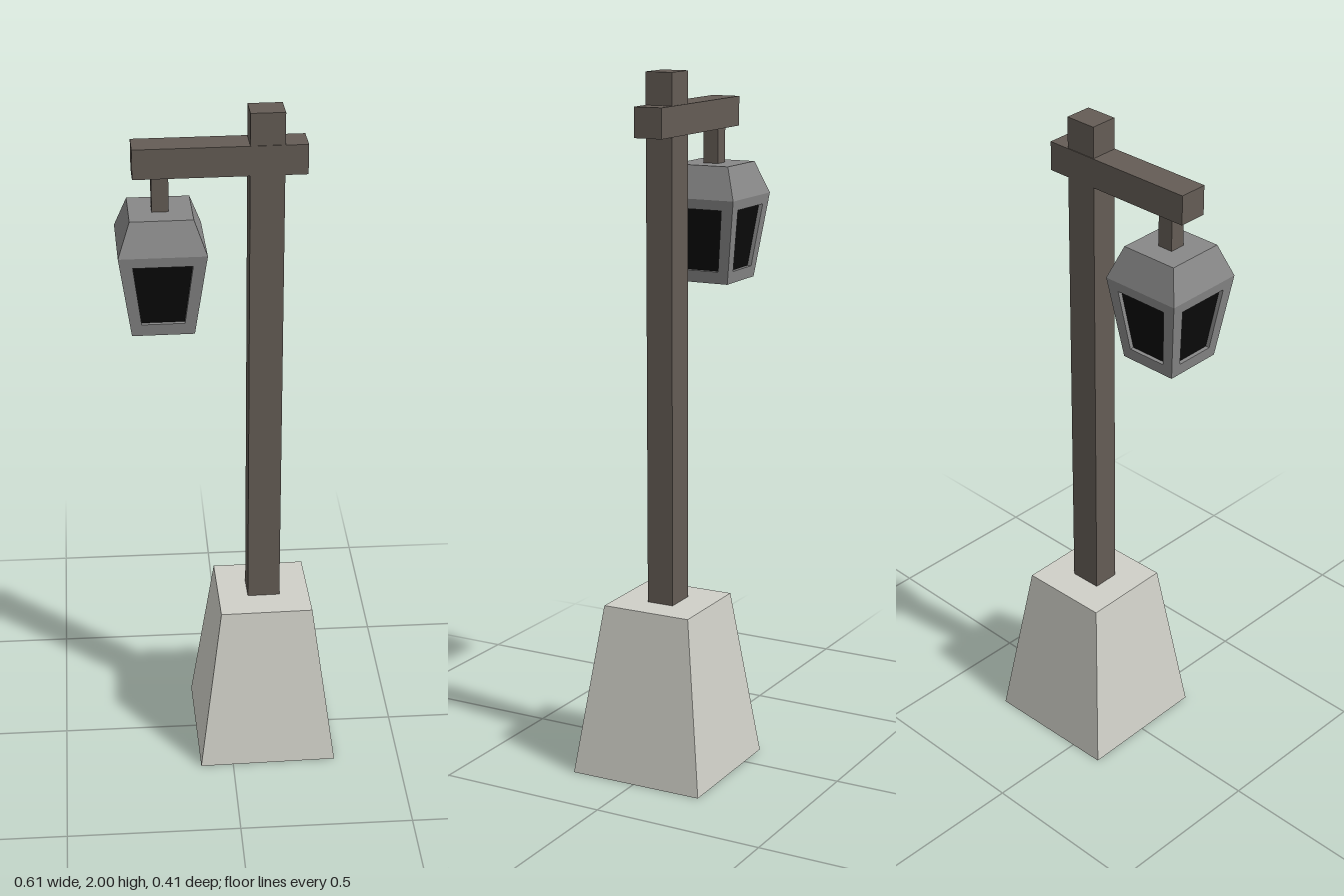
import * as THREE from 'three';

const mat = (color) => new THREE.MeshStandardMaterial({ color, flatShading: true, side: THREE.DoubleSide });
const stone = mat(0xd0d0c8);
const wood = mat(0x645c55);
const metal = mat(0x888888);
const glass = mat(0x0a0a0a);

function add(parent, name, geometry, material, x = 0, y = 0, z = 0) {
  const mesh = new THREE.Mesh(geometry, material);
  mesh.name = name;
  mesh.position.set(x, y, z);
  parent.add(mesh);
  return mesh;
}

// Geometry from a list of quads, each four Vector3 corners, anticlockwise from outside
function quads(list) {
  const pos = [];
  for (const [a, b, c, d] of list) for (const p of [a, b, c, a, c, d]) pos.push(p.x, p.y, p.z);
  const g = new THREE.BufferGeometry();
  g.setAttribute('position', new THREE.Float32BufferAttribute(pos, 3));
  g.computeVertexNormals();
  return g;
}

// Square ring of corners at height y, half width h
const ring = (h, y) => [[-h, h], [h, h], [h, -h], [-h, -h]].map(([x, z]) => new THREE.Vector3(x, y, z));

// Tapered block with a closed top and an open bottom
function taperedShell(h0, y0, h1, y1) {
  const a = ring(h0, y0), b = ring(h1, y1);
  const list = [b];
  for (let i = 0; i < 4; i++) {
    const j = (i + 1) % 4;
    list.push([a[i], a[j], b[j], b[i]]);
  }
  return quads(list);
}

// Frame with a sunken pane: outer corners, opening corners, inward offset
function framedPane(parent, name, outer, inner, inset) {
  const sunk = inner.map((p) => p.clone().add(inset));
  const list = [];
  for (let i = 0; i < 4; i++) {
    const j = (i + 1) % 4;
    list.push([outer[i], outer[j], inner[j], inner[i]], [inner[i], inner[j], sunk[j], sunk[i]]);
  }
  const group = new THREE.Group();
  group.name = name;
  add(group, 'frame', quads(list), metal);
  add(group, 'pane', quads([sunk]), glass);
  parent.add(group);
  return group;
}

function createLantern() {
  const lantern = new THREE.Group();
  lantern.name = 'lantern';
  const yB = 1.39, yT = 1.633, hB = 0.086, hT = 0.12;
  add(lantern, 'roof', taperedShell(hT, yT, 0.086, 1.725), metal);
  add(lantern, 'hanger', new THREE.BoxGeometry(0.046, 0.12, 0.046), wood, 0, 1.775, 0);

  // Four sloping sides
  const depthAt = (y) => hB + ((hT - hB) * (y - yB)) / (yT - yB);
  const side = (h0, y0, h1, y1) => [[-h0, y0], [h0, y0], [h1, y1], [-h1, y1]]
    .map(([x, y]) => new THREE.Vector3(x, y, depthAt(y)));
  for (let i = 0; i < 4; i++) {
    framedPane(lantern, 'lanternSide', side(hB, yB, hT, yT), side(0.059, 1.425, 0.081, 1.604),
      new THREE.Vector3(0, 0, -0.012)).rotation.y = (i * Math.PI) / 2;
  }

  // Underside
  framedPane(lantern, 'lanternBottom', ring(hB, yB).reverse(), ring(0.046, yB).reverse(),
    new THREE.Vector3(0, 0.012, 0));
  return lantern;
}

export function createModel() {
  const model = new THREE.Group();
  model.name = 'lampPost';
  const body = new THREE.Group();
  body.name = 'lampPostBody';
  body.rotation.y = 0.02;
  model.add(body);

  // Stone foot, post and crossbeam
  add(body, 'base', taperedShell(0.2015, 0, 0.134, 0.497), stone, 0.101);
  add(body, 'post', new THREE.BoxGeometry(0.094, 1.503, 0.08), wood, 0.101, 1.2485, 0);
  add(body, 'crossbeam', new THREE.BoxGeometry(0.47, 0.084, 0.084), wood, -0.025, 1.868, 0);

  // Hanging lantern
  const lantern = createLantern();
  lantern.position.x = -0.186;
  body.add(lantern);
  return model;
}
